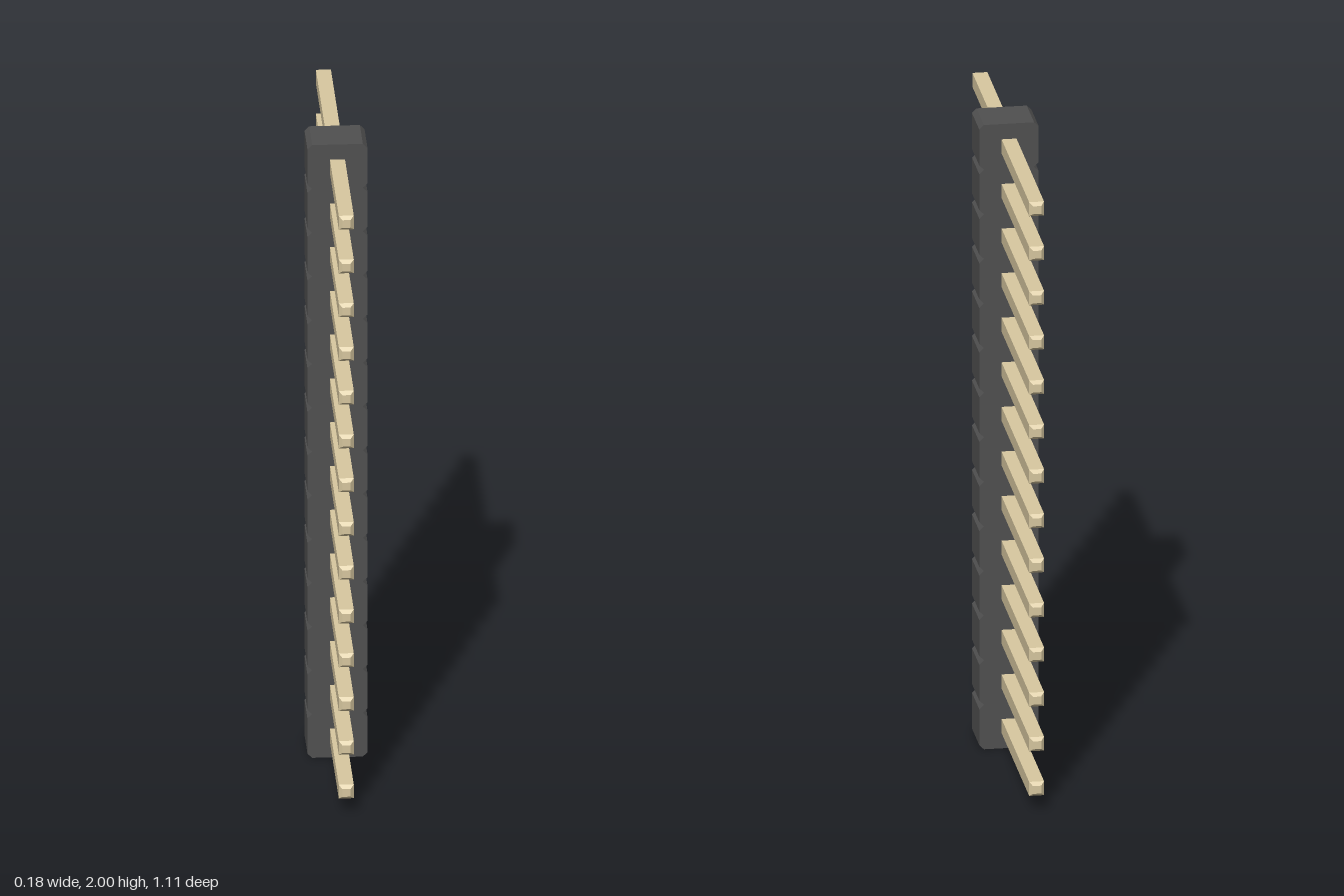
import * as THREE from 'three';

const COUNT = 14;
const PITCH = 2 / COUNT;

// Square prism along z whose two ends taper to a smaller square tip
function pinGeometry(half, tipHalf, taper, length) {
  const s = new THREE.Shape();
  s.moveTo(-tipHalf, -tipHalf);
  s.lineTo(tipHalf, -tipHalf);
  s.lineTo(tipHalf, tipHalf);
  s.lineTo(-tipHalf, tipHalf);
  s.closePath();
  const g = new THREE.ExtrudeGeometry(s, {
    depth: length - 2 * taper,
    bevelEnabled: true,
    bevelSegments: 1,
    bevelSize: half - tipHalf,
    bevelThickness: taper,
  });
  return g.translate(0, 0, -(length - 2 * taper) / 2);
}

// One strip outline: a stack of chamfered cells, giving V notches between them
function housingGeometry(half, chamfer, back, front) {
  const right = [];
  for (let i = 0; i < COUNT; i++) {
    const y = i * PITCH;
    if (i === 0) right.push([half - chamfer, y]);
    right.push([half, y + chamfer], [half, y + PITCH - chamfer], [half - chamfer, y + PITCH]);
  }
  const left = right.map(([x, y]) => [-x, y]).reverse();
  const shape = new THREE.Shape([...right, ...left].map(([x, y]) => new THREE.Vector2(x, y)));
  const g = new THREE.ExtrudeGeometry(shape, { depth: front - back, bevelEnabled: false });
  return g.translate(0, 0, back);
}

export function createModel() {
  const model = new THREE.Group();
  model.name = 'pinHeader';
  const plastic = new THREE.MeshStandardMaterial({ color: 0x505050, flatShading: true });
  const metal = new THREE.MeshStandardMaterial({ color: 0xd8c8a0, flatShading: true });

  // Plastic housing strip
  const housing = new THREE.Mesh(housingGeometry(0.09, 0.014, -0.015, 0.126), plastic);
  housing.name = 'housing';
  model.add(housing);

  // Metal pins, one through the middle of each cell
  const pinGeo = pinGeometry(0.0225, 0.0125, 0.011, 1.114);
  for (let i = 0; i < COUNT; i++) {
    const pin = new THREE.Mesh(pinGeo, metal);
    pin.name = `pin${i + 1}`;
    pin.position.y = (i + 0.5) * PITCH;
    model.add(pin);
  }
  return model;
}
